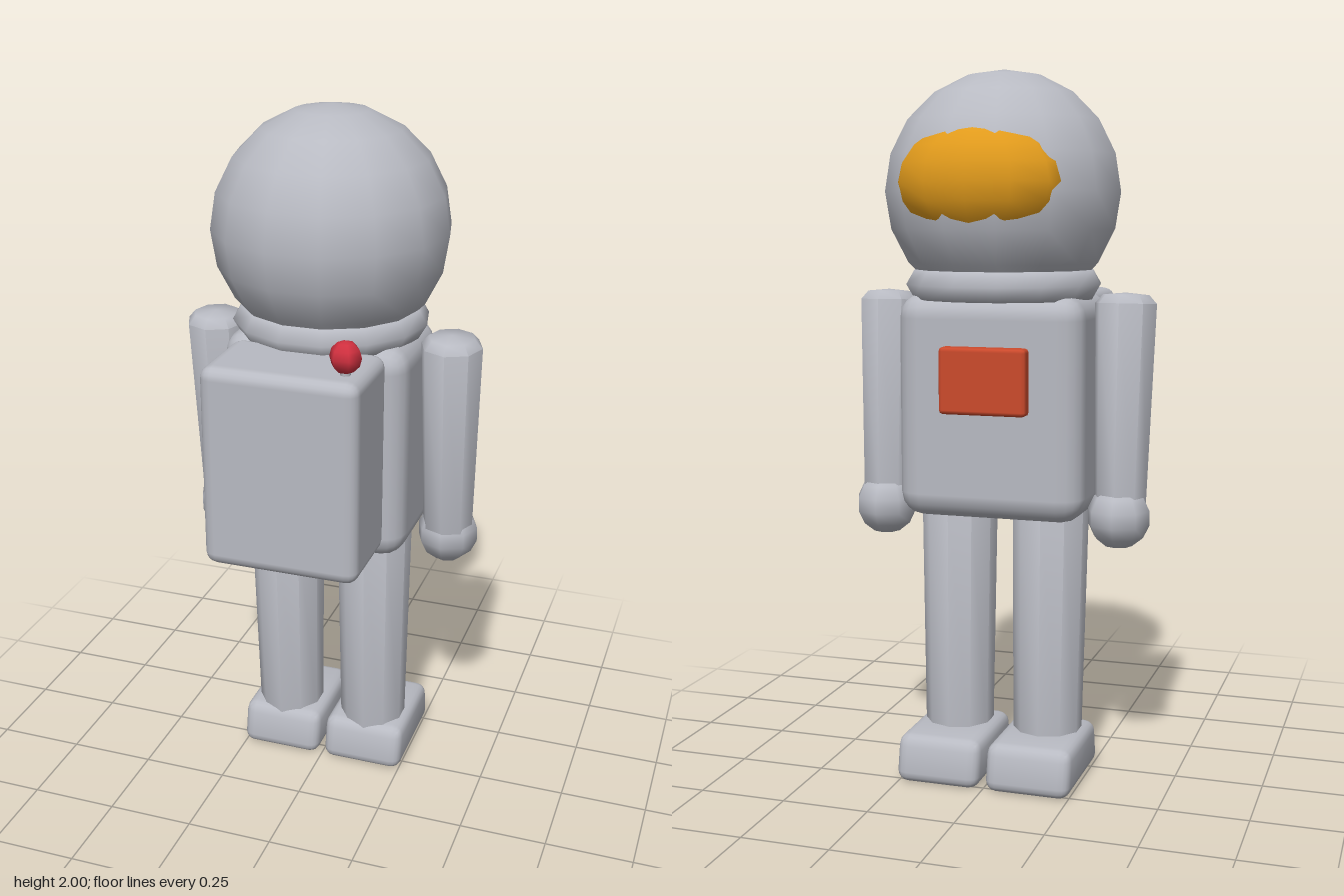
import * as THREE from 'three';
import { RoundedBoxGeometry } from 'three/addons/geometries/RoundedBoxGeometry.js';
import { toCreasedNormals } from 'three/addons/utils/BufferGeometryUtils.js';

export function createModel() {
  const group = new THREE.Group();
  const paint = (name, color) => {
    const m = new THREE.MeshStandardMaterial({ color });
    m.name = name;
    return m;
  };
  const suit = paint('suit grey', 0xb8bac2);
  const amber = paint('visor amber', 0xe09a1c);
  const orange = paint('panel orange', 0xcc4a2c);
  const red = paint('beacon red', 0xd0303f);

  function add(name, geometry, material, x, y, z) {
    const mesh = new THREE.Mesh(geometry, material);
    mesh.name = name;
    mesh.position.set(x, y, z);
    group.add(mesh);
    return mesh;
  }

  // Lathed limb running from top to bottom, with a shallow domed top
  function limb(name, top, bottom, rTop, rBottom, sides, dome) {
    const a = new THREE.Vector3(...top), b = new THREE.Vector3(...bottom);
    const h = a.distanceTo(b);
    const profile = [[0, 0], [rBottom, 0], [rTop, h - dome], [rTop * 0.75, h - dome * 0.2], [0, h]]
      .map(([r, y]) => new THREE.Vector2(r, y));
    const geo = toCreasedNormals(new THREE.LatheGeometry(profile, sides), 0.9);
    const mesh = add(name, geo, suit, ...bottom);
    mesh.quaternion.setFromUnitVectors(new THREE.Vector3(0, 1, 0), a.sub(b).normalize());
  }

  // Helmet, visor bulge and collar
  add('helmet', new THREE.SphereGeometry(0.333, 14, 10), suit, 0, 1.667, -0.05);
  add('visor', new THREE.SphereGeometry(1, 12, 10), amber, 0, 1.69, -0.25).scale.set(0.24, 0.165, 0.15);
  add('collar', new THREE.TorusGeometry(0.23, 0.047, 6, 14), suit, 0, 1.412, -0.05).rotation.x = Math.PI / 2;

  // Torso and chest panel
  add('torso', new RoundedBoxGeometry(0.535, 0.63, 0.37, 2, 0.07), suit, 0, 1.075, -0.045);
  add('chestPanel', new RoundedBoxGeometry(0.25, 0.185, 0.05, 1, 0.012), orange, 0, 1.155, -0.24);

  // Backpack with beacon
  add('backpack', new RoundedBoxGeometry(0.44, 0.575, 0.27, 2, 0.035), suit, 0, 1.097, 0.265);
  add('beaconStem', new THREE.CylinderGeometry(0.014, 0.014, 0.06, 6), suit, 0.165, 1.39, 0.325);
  add('beacon', new THREE.SphereGeometry(0.044, 6, 6), red, 0.165, 1.433, 0.325);

  // Boot: rounded block narrowing in length toward the top
  const boot = new RoundedBoxGeometry(0.245, 0.135, 0.345, 2, 0.032);
  const p = boot.attributes.position;
  for (let i = 0; i < p.count; i++) {
    const t = p.getY(i) / 0.135 + 0.5;
    p.setZ(i, p.getZ(i) * (1 - 0.17 * Math.max(0, t - 0.2)));
  }
  const bootGeo = toCreasedNormals(boot, 0.7);

  // Arms, hands, legs and boots on both sides
  for (const [side, s] of [['left', 1], ['right', -1]]) {
    limb(side + 'Arm', [0.35 * s, 1.392, -0.047], [0.347 * s, 0.8, -0.083], 0.087, 0.073, 8, 0.03);
    add(side + 'Hand', new THREE.SphereGeometry(0.09, 8, 7), suit, 0.346 * s, 0.773, -0.095);
    limb(side + 'Leg', [0.137 * s, 0.82, -0.044], [0.134 * s, 0.07, -0.064], 0.109, 0.098, 10, 0.04);
    add(side + 'Boot', bootGeo, suit, 0.132 * s, 0.0675, -0.112);
  }
  return group;
}
